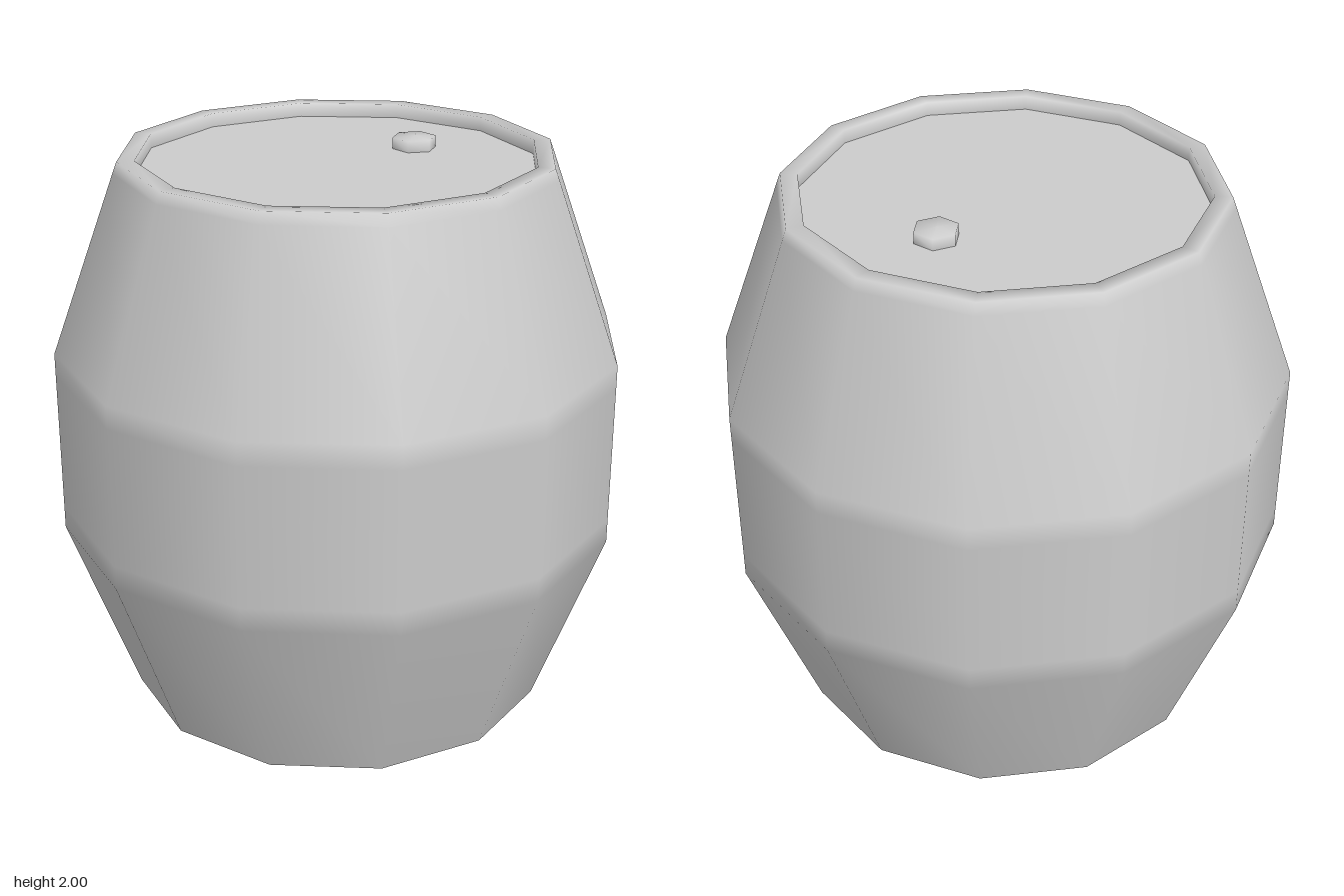
import * as THREE from 'three';

const SIDES = 12;
const material = new THREE.MeshStandardMaterial({ color: 0xcccccc });

function addMesh(group, name, geometry) {
  const mesh = new THREE.Mesh(geometry, material);
  mesh.name = name;
  group.add(mesh);
  return mesh;
}

// Smooth turned surface from [radius, height] pairs
function turned(profile, sides, start = 0) {
  const points = profile.map(([r, y]) => new THREE.Vector2(r, y));
  return new THREE.LatheGeometry(points, sides, start);
}

export function createModel() {
  const barrel = new THREE.Group();
  barrel.name = 'barrel';

  // Bulging wall that turns over the rim and down to the sunken lid;
  // extra rings beside the bends keep the shading blends short
  addMesh(barrel, 'wall', turned([
    [0.755, 0], [1, 0.667], [1, 0.75], [1, 1.25], [1, 1.333],
    [0.77, 1.96], [0.755, 2], [0.695, 2], [0.695, 1.95],
  ], SIDES));

  // Flat lid and base
  const lid = addMesh(barrel, 'lid', new THREE.CircleGeometry(0.695, SIDES));
  lid.rotation.x = -Math.PI / 2;
  lid.position.y = 1.95;
  const base = addMesh(barrel, 'base', new THREE.CircleGeometry(0.755, SIDES));
  base.rotation.x = Math.PI / 2;

  // Six-sided bung near the back of the lid
  const bung = addMesh(barrel, 'bung', turned([
    [0.078, 0], [0.078, 0.04], [0, 0.045],
  ], 6, Math.PI / 6));
  bung.position.set(0.01, 1.95, -0.35);

  return barrel;
}
